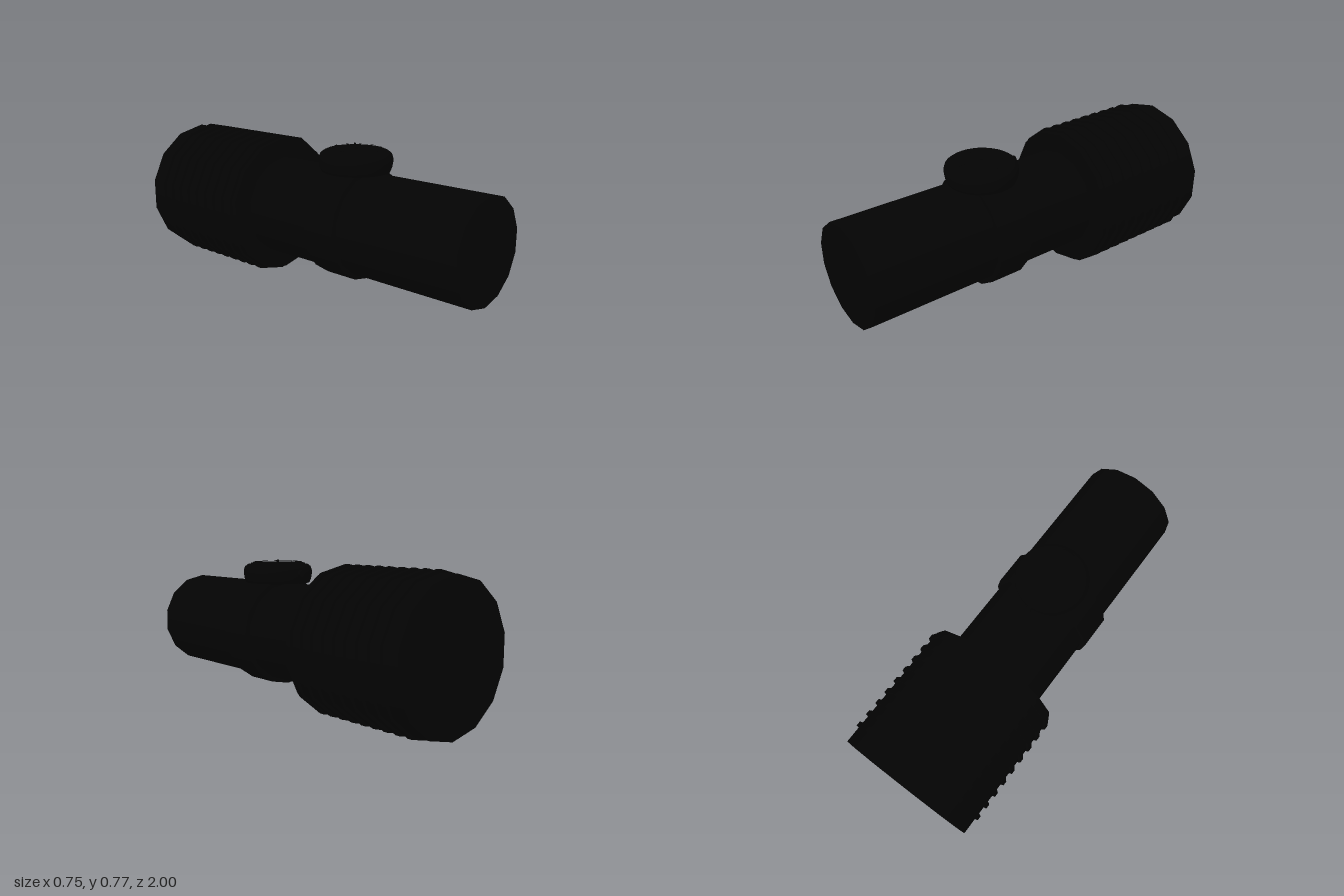
import * as THREE from 'three';

const AXIS_Y = 0.385; // height of the long axis
const WATCH_Z = 0.228;

export function createModel() {
  const model = new THREE.Group();
  model.name = 'sleevedArmWithWatch';
  const black = new THREE.MeshStandardMaterial({ color: 0x030303 });
  black.name = 'black';

  const add = (parent, name, geometry, x = 0, y = 0, z = 0) => {
    const mesh = new THREE.Mesh(geometry, black);
    mesh.name = name;
    mesh.position.set(x, y, z);
    parent.add(mesh);
    return mesh;
  };

  // Cylinder lying along z, with a corner pointing straight down
  const tube = (name, radius, z0, z1, sides = 14) =>
    add(model, name,
      new THREE.CylinderGeometry(radius, radius, z1 - z0, sides).rotateX(Math.PI / 2),
      0, AXIS_Y, (z0 + z1) / 2);

  // Arm, sleeve and the raised ribs round the sleeve
  tube('forearm', 0.265, -0.4, 1);
  tube('sleeve', 0.37, -1, -0.285);
  for (let i = 0; i < 9; i++) {
    const z = -0.325 - i * 0.0717;
    tube('sleeveRib', 0.385, z - 0.0125, z + 0.0125);
  }

  // Watch strap
  tube('watchStrap', 0.29, 0.14, 0.323, 16);

  // Watch, with its own origin at the middle of the dial
  const watch = new THREE.Group();
  watch.name = 'watch';
  watch.position.set(0, 0, WATCH_Z);
  model.add(watch);

  const profile = [
    [0, 0.65], [0.175, 0.65], [0.183, 0.672], [0.188, 0.7], [0.187, 0.72],
    [0.181, 0.737], [0.165, 0.749], [0.15, 0.75], [0.149, 0.756], [0, 0.756],
  ].map(([r, y]) => new THREE.Vector2(r, y));
  add(watch, 'watchCase', new THREE.LatheGeometry(profile, 32));

  // Crown on the side towards the sleeve
  add(watch, 'crown',
    new THREE.CylinderGeometry(0.016, 0.016, 0.04, 12).rotateX(Math.PI / 2), 0, 0.705, -0.188);

  // Thin bar on the dial, running outwards from r0 to r1
  const bar = (name, angle, r0, r1, width, y) => {
    const geometry = new THREE.BoxGeometry(r1 - r0, 0.002, width);
    geometry.translate((r0 + r1) / 2, 0, 0);
    add(watch, name, geometry, 0, y, 0).rotation.y = angle;
  };
  for (let i = 0; i < 12; i++) bar('hourMark', (i * Math.PI) / 6, 0.095, 0.135, 0.01, 0.762);
  bar('hourHand', 2.6, -0.015, 0.08, 0.012, 0.767);
  bar('minuteHand', 0.76, -0.018, 0.108, 0.009, 0.771);
  add(watch, 'handPin', new THREE.CylinderGeometry(0.007, 0.007, 0.016, 10), 0, 0.763, 0);

  return model;
}
